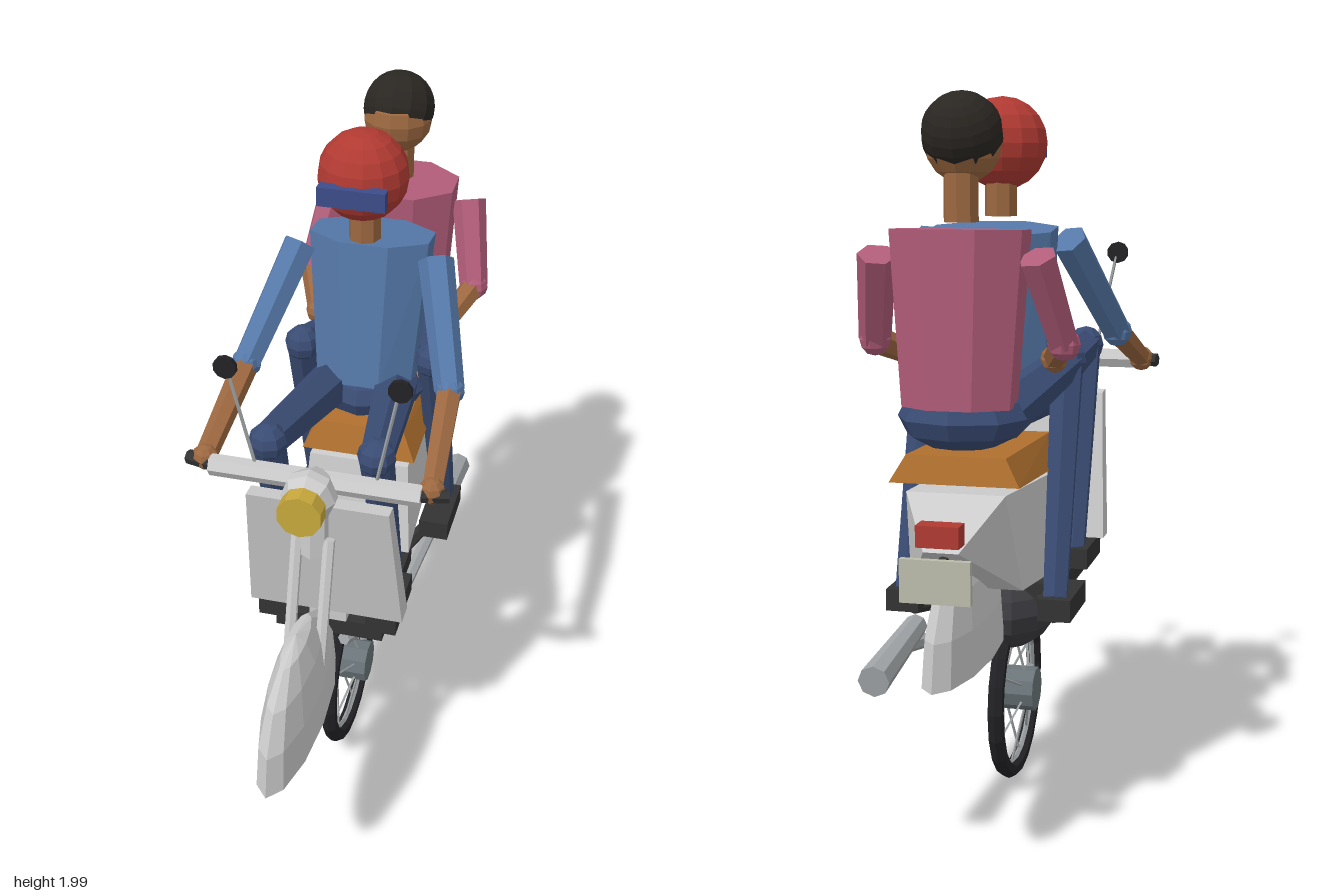
import * as THREE from 'three';
import { ConvexGeometry } from 'three/addons/geometries/ConvexGeometry.js';

const mat = (color) => new THREE.MeshStandardMaterial({ color, flatShading: true, side: THREE.DoubleSide });
const M = {
  grey: mat(0xcccccc), dark: mat(0x333333), tyre: mat(0x222226), hub: mat(0x6a7478),
  engine: mat(0x3c3c40), steel: mat(0xa0a4a6), gold: mat(0xc8a83c), seat: mat(0xb0702e), red: mat(0xb03a32),
  jeans: mat(0x3a4c74), shirt: mat(0x5578a8), pink: mat(0xb05c78), skin: mat(0x9c6840),
  hair: mat(0x2a2622), visor: mat(0x3c4c88), plate: mat(0xbcbcac),
};
const V = (p) => new THREE.Vector3(...p);

export function createModel() {
  const root = new THREE.Group();

  const add = (name, geo, m, pos = [0, 0, 0], parent = root) => {
    const mesh = new THREE.Mesh(geo, m);
    mesh.name = name;
    mesh.position.set(...pos);
    parent.add(mesh);
    return mesh;
  };
  const box = (name, size, m, pos, parent) => add(name, new THREE.BoxGeometry(...size), m, pos, parent);
  const ball = (name, r, m, pos, parent, w = 8, h = 6) =>
    add(name, new THREE.SphereGeometry(r, w, h), m, pos, parent);
  // Tapered rod from a to b
  const rod = (name, a, b, ra, rb, m, parent, sides = 6) => {
    const A = V(a), B = V(b), d = B.clone().sub(A);
    const mesh = add(name, new THREE.CylinderGeometry(rb, ra, d.length(), sides), m,
      A.add(B).multiplyScalar(0.5).toArray(), parent);
    mesh.quaternion.setFromUnitVectors(new THREE.Vector3(0, 1, 0), d.normalize());
    return mesh;
  };
  // Convex solid from corners [halfWidth, y, z], mirrored across x
  const solid = (name, corners, m) => add(name,
    new ConvexGeometry(corners.flatMap(([x, y, z]) => [V([x, y, z]), V([-x, y, z])])), m);
  // Eight-sided tapered block with its flats facing front and sides
  const trunk = (name, a, b, [wa, da], [wb, db], m, parent) => {
    const A = V(a), B = V(b), h = A.distanceTo(B);
    const g = new THREE.CylinderGeometry(1, 1, h, 8).rotateY(Math.PI / 8);
    const p = g.attributes.position, k = 1 / Math.cos(Math.PI / 8);
    for (let i = 0; i < p.count; i++) {
      const top = p.getY(i) > 0;
      p.setX(i, p.getX(i) * k * (top ? wb : wa));
      p.setZ(i, p.getZ(i) * k * (top ? db : da));
    }
    const mesh = add(name, g, m, A.clone().add(B).multiplyScalar(0.5).toArray(), parent);
    mesh.rotation.x = Math.atan2(B.z - A.z, B.y - A.y);
  };

  // Wheel
  const wheel = new THREE.Group();
  wheel.name = 'wheel';
  wheel.position.y = 0.277;
  root.add(wheel);
  add('tyre', new THREE.TorusGeometry(0.245, 0.024, 6, 20).rotateY(Math.PI / 2), M.tyre, [0, 0, 0], wheel);
  add('rim', new THREE.TorusGeometry(0.222, 0.008, 4, 20).rotateY(Math.PI / 2), M.steel, [0, 0, 0], wheel);
  add('hub', new THREE.CylinderGeometry(0.065, 0.065, 0.13, 10).rotateZ(Math.PI / 2), M.hub, [0, 0, 0], wheel);
  for (let i = 0; i < 14; i++) {
    const a = (i / 14) * Math.PI * 2, s = Math.sin(a), c = Math.cos(a), x = i % 2 ? 0.03 : -0.03;
    rod('spoke', [x, s * 0.06, c * 0.06], [0, s * 0.222, c * 0.222], 0.004, 0.004, M.steel, wheel, 4);
  }

  // Open half-dome fenders, front and rear
  for (const [name, z] of [['frontFender', 0.57], ['rearFender', -0.57]]) {
    add(name, new THREE.SphereGeometry(1, 12, 4, 0, Math.PI * 2, 0, Math.PI / 2)
      .scale(0.075, 0.31, 0.31), M.grey, [0, 0.553, z]);
  }

  // Leg shield, tunnel, floor and engine
  solid('legShield', [[0.2, 1.135, 0.35], [0.2, 1.13, 0.3], [0.225, 0.7, 0.27], [0.225, 0.7, 0.2]], M.grey);
  solid('tunnel', [[0.055, 0.95, 0.25], [0.055, 0.82, 0.12], [0.055, 0.72, -0.06],
    [0.055, 0.65, -0.06], [0.055, 0.65, 0.25]], M.grey);
  box('floorBoard', [0.32, 0.055, 0.39], M.dark, [0, 0.617, 0.045]);
  add('engine', new THREE.SphereGeometry(1, 10, 8).scale(0.13, 0.125, 0.19), M.engine, [0, 0.55, -0.04]);

  // Rear cowl with tapered tail, seat, light and plate
  solid('rearCowl', [[0.15, 0.97, -0.11], [0.13, 1.005, -0.65], [0.17, 0.69, -0.06],
    [0.15, 0.735, -0.55], [0.045, 0.885, -0.79]], M.grey);
  solid('seat', [[0.13, 1.08, -0.13], [0.13, 1.1, -0.65], [0.17, 1.03, -0.67], [0.17, 0.995, -0.1]], M.seat);
  box('tailLight', [0.11, 0.055, 0.055], M.red, [0, 0.932, -0.795]);
  box('rearPlate', [0.18, 0.11, 0.018], M.plate, [0, 0.825, -0.836]);
  rod('plateBracket', [0, 0.87, -0.75], [0, 0.82, -0.83], 0.012, 0.012, M.dark);

  // Exhaust on one side
  const pipe = [[0.04, 0.555, 0.22], [0.13, 0.465, -0.04], [0.185, 0.545, -0.5]];
  rod('exhaustPipe', pipe[0], pipe[1], 0.02, 0.02, M.steel);
  rod('exhaustPipe', pipe[1], pipe[2], 0.02, 0.02, M.steel);
  ball('exhaustBend', 0.021, M.steel, pipe[1]);
  rod('muffler', [0.185, 0.575, -0.4], [0.185, 0.535, -0.77], 0.032, 0.042, M.steel, root, 8);

  // Headlight and handlebar
  const lamp = new THREE.LatheGeometry([[0, -0.13], [0.045, -0.13], [0.075, -0.07], [0.075, -0.04], [0.055, 0]]
    .map(([r, y]) => new THREE.Vector2(r, y)), 8).rotateX(Math.PI / 2);
  add('headlightHousing', lamp, M.grey, [0, 1.217, 0.475]);
  add('headlight', new THREE.CylinderGeometry(0.062, 0.062, 0.05, 10).rotateX(Math.PI / 2), M.gold, [0, 1.217, 0.495]);
  rod('handlebar', [-0.29, 1.23, 0.365], [0.29, 1.23, 0.365], 0.03, 0.03, M.grey);
  rod('steeringColumn', [0, 1.23, 0.37], [0, 1.0, 0.38], 0.04, 0.04, M.grey);

  for (const s of [-1, 1]) {
    rod('frontFork', [s * 0.045, 1.055, 0.387], [s * 0.045, 0.55, 0.545], 0.017, 0.017, M.grey);
    rod('grip', [s * 0.27, 1.23, 0.365], [s * 0.36, 1.23, 0.345], 0.02, 0.02, M.dark);
    rod('mirrorStalk', [s * 0.165, 1.24, 0.355], [s * 0.225, 1.54, 0.373], 0.005, 0.005, M.steel, root, 5);
    add('mirror', new THREE.CylinderGeometry(0.032, 0.032, 0.014, 10).rotateX(Math.PI / 2), M.tyre, [s * 0.23, 1.552, 0.376]);
    rod('footPegBar', [s * 0.1, 0.59, -0.12], [s * 0.2, 0.62, -0.38], 0.02, 0.02, M.dark);
  }

  // Riders
  const person = (name, o) => {
    const g = new THREE.Group();
    g.name = name;
    root.add(g);
    trunk('torso', o.waist, o.collar, o.waistSize, o.collarSize, o.top, g);
    add('pelvis', new THREE.SphereGeometry(1, 8, 6).scale(0.17, 0.085, 0.14), M.jeans, o.pelvis, g);
    rod('neck', [0, 1.68, o.neckZ], [0, 1.8, o.neckZ], 0.045, 0.045, M.skin, g, 8);
    for (const s of [-1, 1]) {
      const m = ([x, y, z]) => [s * x, y, z];
      const [hip, knee, ankle] = o.leg.map(m), [shoulder, elbow, hand] = o.arm.map(m);
      rod('thigh', hip, knee, 0.07, 0.05, M.jeans, g);
      ball('knee', 0.054, M.jeans, knee, g);
      rod('shin', knee, ankle, 0.048, 0.036, M.jeans, g);
      box('shoe', [0.09, 0.06, 0.215], M.dark, m(o.shoe), g);
      rod('upperArm', shoulder, elbow, 0.05, 0.042, o.top, g);
      ball('elbow', 0.043, o.top, elbow, g);
      rod('forearm', elbow, hand, 0.037, 0.03, M.skin, g);
      ball('hand', 0.037, M.skin, hand, g);
    }
    return g;
  };

  const driver = person('driver', {
    top: M.shirt, neckZ: -0.17, pelvis: [0, 1.185, -0.21],
    waist: [0, 1.22, -0.21], collar: [0, 1.65, -0.265], waistSize: [0.14, 0.11], collarSize: [0.17, 0.118],
    leg: [[0.09, 1.19, -0.2], [0.15, 1.28, 0.29], [0.155, 0.69, 0.1]], shoe: [0.16, 0.67, 0.155],
    arm: [[0.195, 1.62, -0.2], [0.29, 1.35, 0.03], [0.312, 1.235, 0.34]],
  });
  ball('helmet', 0.125, M.red, [0, 1.875, -0.15], driver, 14, 10);
  box('visor', [0.185, 0.053, 0.035], M.visor, [0, 1.863, -0.028], driver);

  const passenger = person('passenger', {
    top: M.pink, neckZ: -0.58, pelvis: [0, 1.19, -0.585],
    waist: [0, 1.22, -0.605], collar: [0, 1.663, -0.59], waistSize: [0.14, 0.105], collarSize: [0.17, 0.125],
    leg: [[0.09, 1.19, -0.58], [0.195, 1.29, -0.21], [0.205, 0.68, -0.4]], shoe: [0.21, 0.655, -0.34],
    arm: [[0.205, 1.6, -0.63], [0.25, 1.375, -0.52], [0.19, 1.315, -0.36]],
  });
  ball('face', 0.1, M.skin, [0, 1.873, -0.555], passenger, 12, 8);
  // Hair: full cap on top, longer at the back
  add('hair', new THREE.SphereGeometry(0.104, 12, 8, 0, Math.PI * 2, 0, Math.PI * 0.62)
    .rotateX(-0.5), M.hair, [0, 1.896, -0.567], passenger);

  return root;
}
